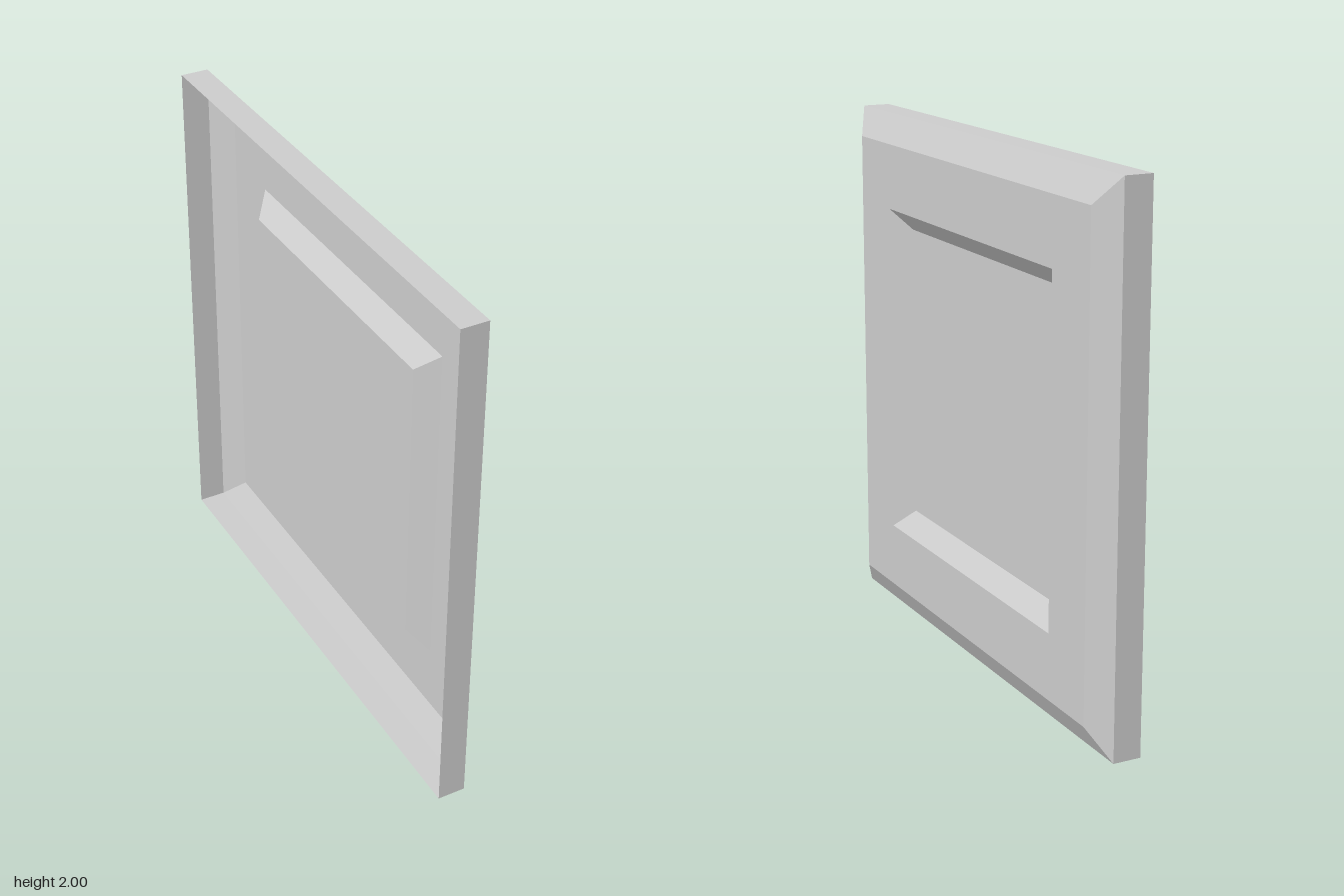
import * as THREE from 'three';

const material = new THREE.MeshStandardMaterial({ color: 0xcccccc, flatShading: true, side: THREE.DoubleSide });

// Square loop of half-size h at depth x, counter-clockwise as seen from +x
const square = ([x, h]) => [[1, -1], [-1, -1], [-1, 1], [1, 1]].map(([z, y]) => [x, 1 + y * h, z * h]);

// Four mitred quads joining an outer square loop to an inner one
function band(name, outer, inner) {
  const a = square(outer), b = square(inner), points = [];
  for (let k = 0; k < 4; k++) {
    const n = (k + 1) % 4;
    points.push(a[k], a[n], b[n], a[k], b[n], b[k]);
  }
  const geometry = new THREE.BufferGeometry();
  geometry.setAttribute('position', new THREE.Float32BufferAttribute(points.flat(), 3));
  geometry.computeVertexNormals();
  const mesh = new THREE.Mesh(geometry, material);
  mesh.name = name;
  return mesh;
}

export function createModel() {
  const group = new THREE.Group();
  group.name = 'wallPanel';

  // Profile from the open back edge to the recess floor: [depth x, half-size]
  const profile = [[-0.082, 1], [0.024, 1], [0.082, 0.895], [0.082, 0.645], [0.016, 0.57]];
  const names = ['sideWalls', 'outerBevel', 'frame', 'recessSlope'];
  names.forEach((name, i) => group.add(band(name, profile[i], profile[i + 1])));

  // Flat floor of the recess
  const [x, h] = profile[4];
  const floor = new THREE.Mesh(new THREE.PlaneGeometry(2 * h, 2 * h).rotateY(Math.PI / 2), material);
  floor.position.set(x, 1, 0);
  floor.name = 'recessFloor';
  group.add(floor);

  return group;
}
